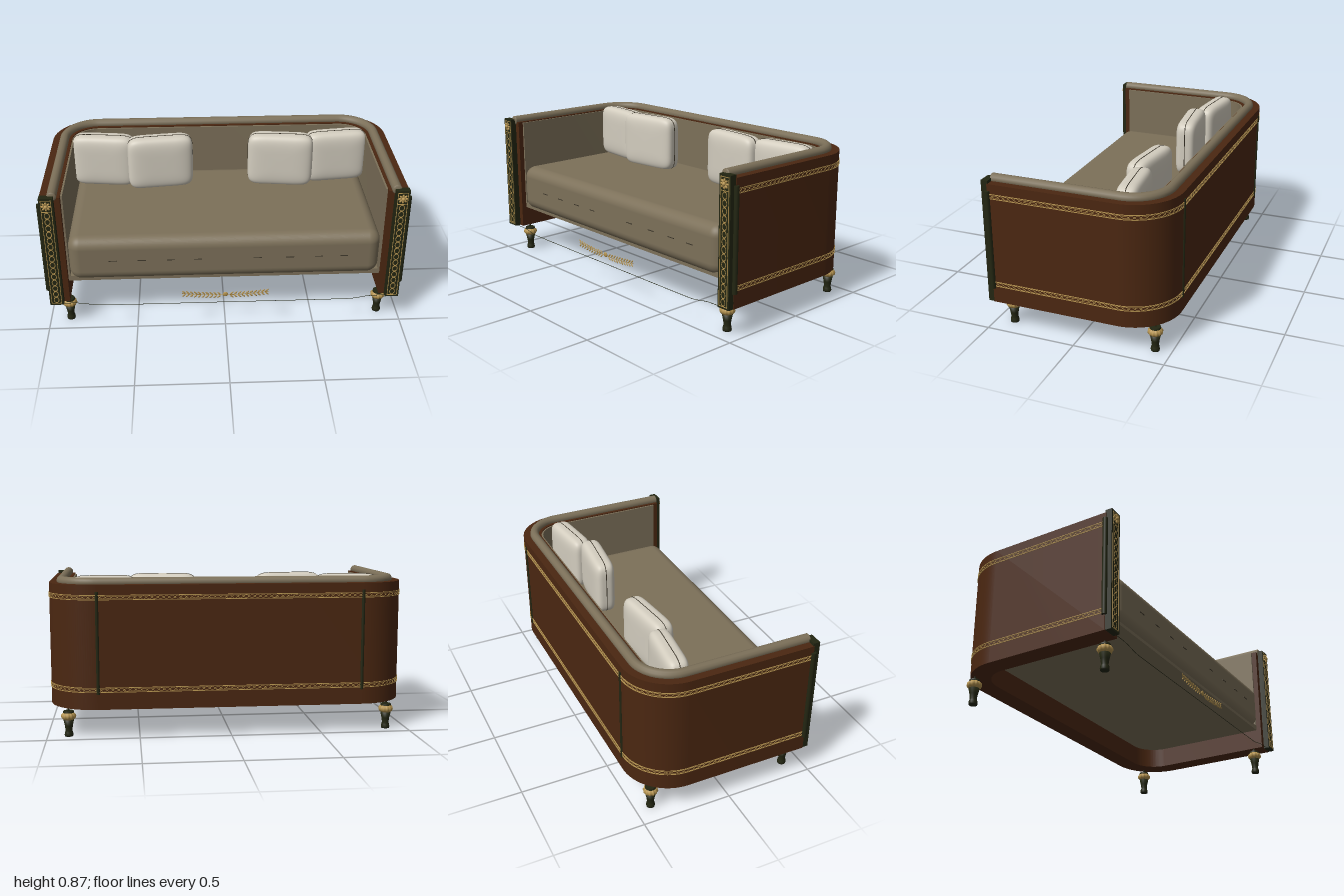
import * as THREE from 'three';
import { mergeGeometries, mergeVertices, toCreasedNormals } from 'three/addons/utils/BufferGeometryUtils.js';
import { RoundedBoxGeometry } from 'three/addons/geometries/RoundedBoxGeometry.js';

const HALF = 0.984, BACK = 0.5, R = 0.26, FRONT = 0.46;

const mat = (name, color) => {
  const m = new THREE.MeshStandardMaterial({ color });
  m.name = name;
  return m;
};

// U-shaped plan of the sofa, inset by off (plan y is -z)
function plan(off, front = FRONT) {
  const p = new THREE.Path();
  const cx = HALF - R, cy = BACK - R;
  p.moveTo(HALF - off, -front);
  p.lineTo(HALF - off, cy);
  p.absarc(cx, cy, R - off, 0, Math.PI / 2);
  p.absarc(-cx, cy, R - off, Math.PI / 2, Math.PI);
  p.lineTo(-HALF + off, -front);
  return p;
}

// Upright wall between two insets of the plan
function wall(outer, inner, y0, y1, front = FRONT) {
  const pts = [...plan(outer, front).getPoints(16), ...plan(inner, front).getPoints(16).reverse()];
  const g = new THREE.ExtrudeGeometry(new THREE.Shape(pts), { depth: y1 - y0, bevelEnabled: false });
  g.rotateX(-Math.PI / 2).translate(0, y0, 0);
  return toCreasedNormals(g, 0.5);
}

// Soft cushion: a sphere squared off by powers
function cushion(w, h, d) {
  const g = new THREE.SphereGeometry(1, 64, 32).rotateX(Math.PI / 2);
  const p = g.attributes.position;
  const pow = (v, e) => Math.sign(v) * Math.abs(v) ** e;
  for (let i = 0; i < p.count; i++) {
    const x = p.getX(i), y = p.getY(i), r = Math.hypot(x, y);
    const k = r < 1e-6 ? 0 : r ** 0.45;
    const c = r < 1e-6 ? 0 : x / r, s = r < 1e-6 ? 0 : y / r;
    p.setXYZ(i, pow(c, 0.3) * k * w / 2, pow(s, 0.3) * k * h / 2, pow(p.getZ(i), 0.5) * d / 2);
  }
  g.deleteAttribute('uv');
  g.deleteAttribute('normal');
  const m = mergeVertices(g, 1e-5);
  m.computeVertexNormals();
  return m;
}

// Flat oval ring for the chain ornaments
const ring = (rx, ry) => new THREE.TorusGeometry(1, 0.16, 4, 12).scale(rx, ry, 0.012);

export function createModel() {
  const root = new THREE.Group();
  root.name = 'sofa';
  const wood = mat('dark wood', 0x4b2711);
  const fabric = mat('taupe fabric', 0x7c7059);
  const linen = mat('pale linen', 0xd3cdbf);
  const bronze = mat('dark bronze', 0x232612);
  const gold = mat('gold', 0xb3924f);
  const stitch = mat('dark stitching', 0x3a3428);

  const add = (name, geo, material, x = 0, y = 0, z = 0, parent = root) => {
    const m = new THREE.Mesh(geo, material);
    m.name = name;
    m.position.set(x, y, z);
    parent.add(m);
    return m;
  };

  // Curved shell, upholstered lining and rolled top edge
  add('woodShell', wall(0, 0.11, 0.16, 0.83), wood);
  add('lining', wall(0.11, 0.12, 0.28, 0.825, 0.43), fabric);
  const rollPts = plan(0.068).getSpacedPoints(120).map(p => new THREE.Vector3(p.x, 0.838, -p.y));
  add('topRoll', new THREE.TubeGeometry(new THREE.CatmullRomCurve3(rollPts), 160, 0.027, 12), fabric);
  for (const s of [-1, 1]) add('rollEnd', new THREE.SphereGeometry(0.027, 12, 8).scale(1, 1, 0.3), fabric, s * (HALF - 0.068), 0.838, FRONT);

  // Seat
  add('seatDeck', new THREE.BoxGeometry(1.75, 0.03, 0.82), fabric, 0, 0.295, 0.02);
  add('seatCushion', new RoundedBoxGeometry(1.73, 0.27, 0.835, 6, 0.065), fabric, 0, 0.419, 0.037);
  for (const x of [-0.62, -0.46, -0.3, -0.15, 0.18, 0.36, 0.52, 0.66])
    add('seatStitch', new THREE.BoxGeometry(0.045, 0.004, 0.004), stitch, x, 0.42, 0.455);

  // Gold chain bands around the shell
  for (const y of [0.764, 0.267]) {
    const parts = [];
    const path = plan(-0.001), n = 120;
    for (let i = 0; i < n; i++) {
      const u = (i + 0.5) / n, p = path.getPointAt(u), t = path.getTangentAt(u);
      parts.push(ring(0.014, 0.007).rotateY(Math.atan2(t.y, t.x)).translate(p.x, y, -p.y));
    }
    add('chainBand', mergeGeometries(parts), gold);
    for (const d of [-0.012, 0.012]) add('bandEdge', wall(-0.003, 0.002, y + d - 0.0018, y + d + 0.0018), gold);
  }

  // Parts repeated on both sides
  const petal = new THREE.SphereGeometry(0.01, 8, 6).scale(1, 0.6, 0.6);
  const legProfile = [[0, 0], [0.022, 0], [0.024, 0.008], [0.022, 0.022], [0.018, 0.032], [0.022, 0.06], [0.029, 0.092], [0, 0.092]]
    .map(([r, y]) => new THREE.Vector2(r, y));
  const bulb = new THREE.SphereGeometry(1, 48, 12);
  const bp = bulb.attributes.position;
  for (let i = 0; i < bp.count; i++) {
    const k = 1 + 0.06 * Math.cos(12 * Math.atan2(bp.getZ(i), bp.getX(i)));
    bp.setXYZ(i, bp.getX(i) * k * 0.039, bp.getY(i) * 0.026, bp.getZ(i) * k * 0.039);
  }
  bulb.computeVertexNormals();

  for (const s of [-1, 1]) {
    // Front post with chain and rosette
    const post = new THREE.Group();
    post.name = 'frontPost';
    post.position.set(s * 0.943, 0, 0);
    root.add(post);
    add('postBody', new THREE.BoxGeometry(0.076, 0.685, 0.038), bronze, 0, 0.503, 0.474, post);
    const chain = [];
    for (let i = 0; i < 15; i++) chain.push(ring(0.014, 0.018).translate(0, 0.195 + i * 0.039, 0.494));
    for (const e of [-1, 1]) chain.push(new THREE.BoxGeometry(0.003, 0.66, 0.003).translate(e * 0.027, 0.503, 0.494));
    for (const y of [0.173, 0.765, 0.833]) chain.push(new THREE.BoxGeometry(0.057, 0.003, 0.003).translate(0, y, 0.494));
    add('postChain', mergeGeometries(chain), gold, 0, 0, 0, post);
    const rosette = [new THREE.SphereGeometry(0.011, 12, 8).translate(0, 0.8, 0.501)];
    for (let i = 0; i < 8; i++)
      rosette.push(petal.clone().translate(0.018, 0, 0).rotateZ(i * Math.PI / 4).translate(0, 0.8, 0.498));
    add('rosette', mergeGeometries(rosette), gold, 0, 0, 0, post);

    // Slim upright mouldings on the side and back
    add('sideMoulding', new THREE.CylinderGeometry(0.014, 0.014, 0.55, 10), bronze, s * 0.986, 0.518, 0.458);
    add('backMoulding', new THREE.CylinderGeometry(0.009, 0.009, 0.55, 10), bronze, s * 0.72, 0.518, -0.499);

    // Turned legs
    for (const z of [0.4, -0.412]) {
      const leg = new THREE.Group();
      leg.name = 'leg';
      leg.position.set(s * 0.885, 0, z);
      root.add(leg);
      add('legShaft', new THREE.LatheGeometry(legProfile, 20), bronze, 0, 0, 0, leg);
      add('legBulb', bulb, gold, 0, 0.112, 0, leg);
      add('legCap', new THREE.CylinderGeometry(0.028, 0.03, 0.01, 20), bronze, 0, 0.136, 0, leg);
      add('legPin', new THREE.CylinderGeometry(0.006, 0.006, 0.03, 8), bronze, 0, 0.15, 0, leg);
    }

    // Pillows with a stitched seam
    for (const [x, y, z, w, h, turn] of [[0.69, 0.703, -0.222, 0.365, 0.315, -0.11], [0.357, 0.705, -0.18, 0.385, 0.325, 0.11]]) {
      const pillow = new THREE.Group();
      pillow.name = 'pillow';
      pillow.position.set(s * x, y, z);
      pillow.rotation.y = -s * turn;
      root.add(pillow);
      add('pillowBody', cushion(w, h, 0.13), linen, 0, 0, 0, pillow);
      const seam = [];
      for (let i = 0; i < 80; i++) {
        const a = i / 80 * Math.PI * 2, c = Math.cos(a), d = Math.sin(a);
        seam.push(new THREE.Vector3(Math.sign(c) * Math.abs(c) ** 0.3 * w / 2, Math.sign(d) * Math.abs(d) ** 0.3 * h / 2, 0));
      }
      const curve = new THREE.CatmullRomCurve3(seam, true);
      add('pillowSeam', new THREE.TubeGeometry(curve, 120, 0.0025, 5, true), stitch, 0, 0, 0, pillow);
    }
  }

  // Thin front apron line
  const apron = [[-0.92, 0.16], [-0.82, 0.158], [-0.72, 0.142], [-0.6, 0.14], [0, 0.14], [0.6, 0.14], [0.72, 0.142], [0.82, 0.158], [0.92, 0.16]]
    .map(([x, y]) => new THREE.Vector3(x, y, 0.478));
  add('apronLine', new THREE.TubeGeometry(new THREE.CatmullRomCurve3(apron), 60, 0.0015, 5), bronze);

  // Laurel spray on the front
  const leaf = new THREE.SphereGeometry(1, 8, 6).scale(0.013, 0.0045, 0.003);
  const spray = [new THREE.SphereGeometry(0.015, 12, 8).scale(1, 1, 0.35).translate(0, 0.197, 0)];
  for (const s of [-1, 1]) {
    for (let i = 0; i < 10; i++) {
      const x = 0.03 + i * 0.022, y = 0.192 + 0.28 * x * x;
      for (const up of [-1, 1])
        spray.push(leaf.clone().rotateZ(s * up * 0.75).translate(s * (x + 0.006), y + up * 0.011, 0));
    }
    const stem = [0.01, 0.09, 0.17, 0.245].map(x => new THREE.Vector3(s * x, 0.192 + 0.28 * x * x, 0));
    spray.push(new THREE.TubeGeometry(new THREE.CatmullRomCurve3(stem), 16, 0.002, 5));
  }
  add('laurelSpray', mergeGeometries(spray), gold, 0, 0, 0.482);

  return root;
}
